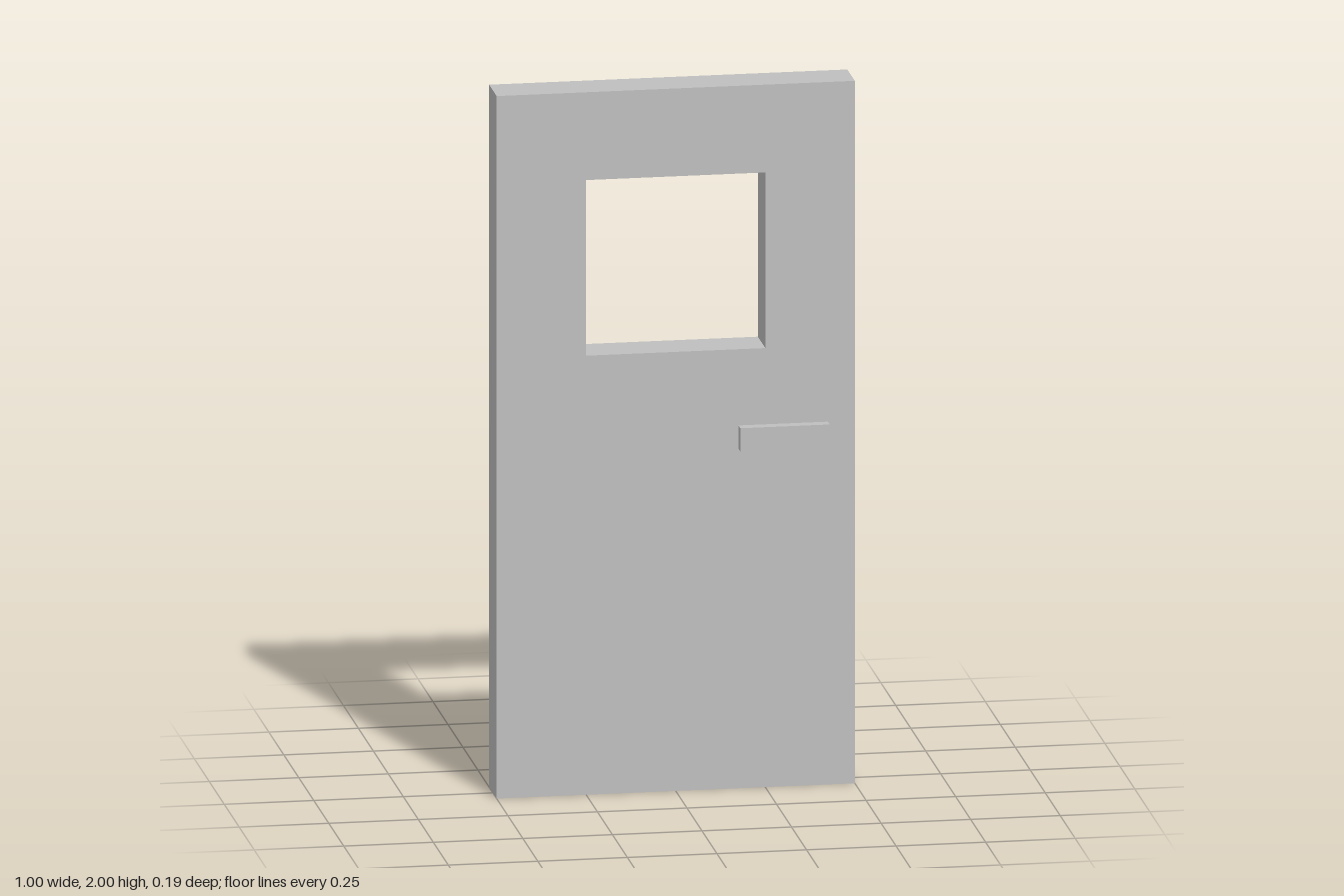
import * as THREE from 'three';

const WIDTH = 1, HEIGHT = 2, DEPTH = 0.125;

export function createModel() {
  const group = new THREE.Group();
  group.name = 'door';
  const grey = new THREE.MeshStandardMaterial({ color: 0xbfbfbf });
  grey.name = 'grey';

  // Door slab with a square window opening
  const outline = new THREE.Shape([
    new THREE.Vector2(-WIDTH / 2, 0),
    new THREE.Vector2(WIDTH / 2, 0),
    new THREE.Vector2(WIDTH / 2, HEIGHT),
    new THREE.Vector2(-WIDTH / 2, HEIGHT),
  ]);
  outline.holes.push(new THREE.Path([
    new THREE.Vector2(-0.25, 1.25),
    new THREE.Vector2(-0.25, 1.75),
    new THREE.Vector2(0.25, 1.75),
    new THREE.Vector2(0.25, 1.25),
  ]));
  const slabGeometry = new THREE.ExtrudeGeometry(outline, { depth: DEPTH, bevelEnabled: false });
  slabGeometry.translate(0, 0, -DEPTH / 2);
  const slab = new THREE.Mesh(slabGeometry, grey);
  slab.name = 'doorSlab';
  group.add(slab);

  // Matching bar handles on the front and back faces
  const handleDepth = 0.031;
  const handleGeometry = new THREE.BoxGeometry(0.25, 0.066, handleDepth);
  for (const [name, side] of [['frontHandle', 1], ['backHandle', -1]]) {
    const handle = new THREE.Mesh(handleGeometry, grey);
    handle.name = name;
    handle.position.set(0.3, 1, side * (DEPTH + handleDepth) / 2);
    group.add(handle);
  }
  return group;
}
